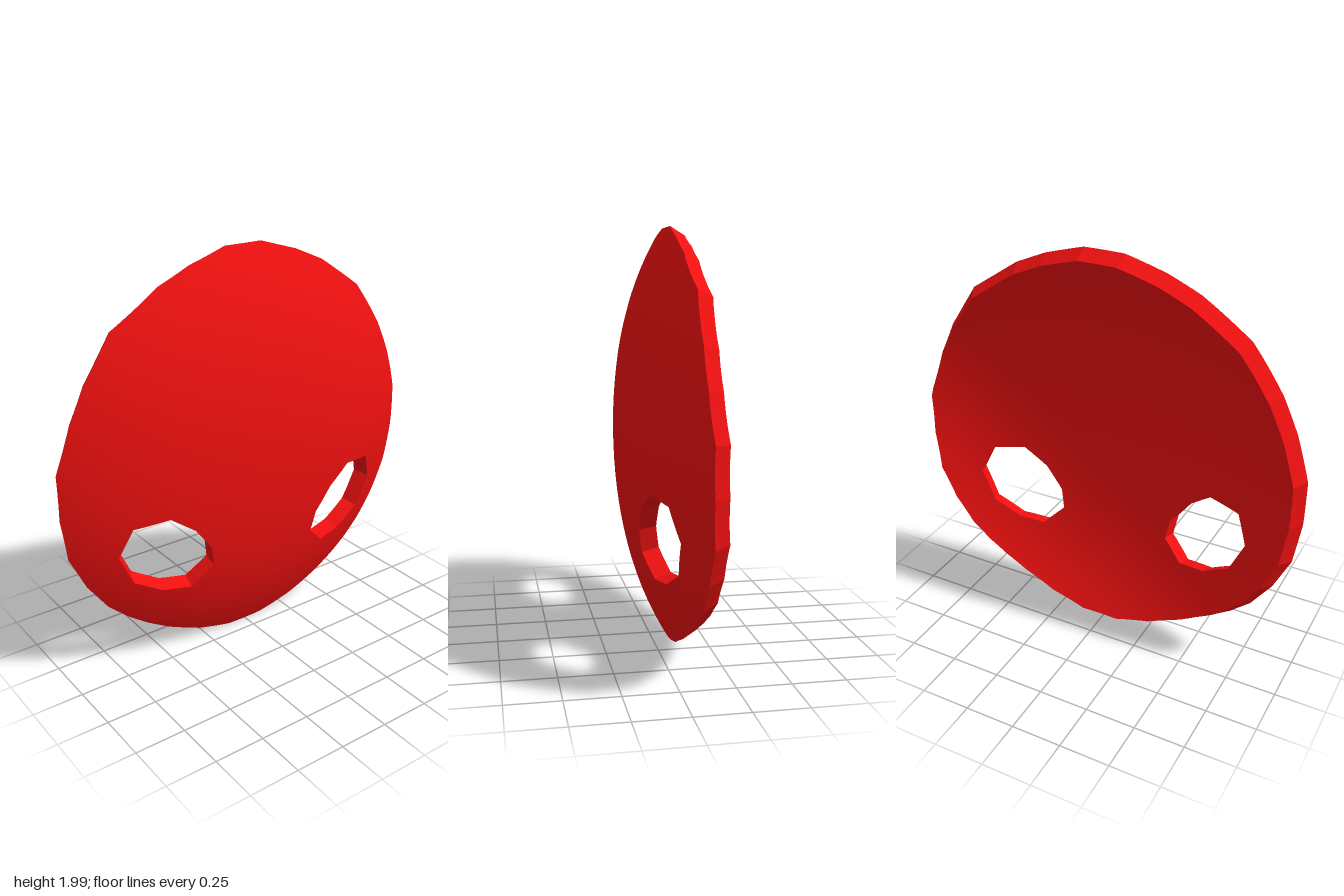
import * as THREE from 'three';

const CENTRE_Y = 0.995, THICKNESS = 0.083, APEX = 0.148;
const STEPS = 12; // subdivisions of every triangle and edge

// Point and normal on the dome; u runs to -z, v runs up from the centre, the dome bulges to +x
function dome(u, v, inner) {
  const r2 = u * u + v * v;
  const slope = 2 * 0.16 + 4 * 0.07 * r2;
  const normal = new THREE.Vector3(1, slope * v, -slope * u).normalize();
  const point = new THREE.Vector3(APEX - 0.16 * r2 - 0.07 * r2 * r2, v + CENTRE_Y, -u);
  if (inner) {
    point.addScaledVector(normal, -THICKNESS);
    normal.negate();
  }
  return { point, normal };
}

// Curved face made by subdividing a flat shape and lifting it onto the dome
function buildFace(flat, inner) {
  const pos = [], nor = [];
  const p = flat.attributes.position, index = flat.index;
  for (let t = 0; t < index.count; t += 3) {
    const [a, b, c] = [0, 1, 2].map(k => new THREE.Vector2(p.getX(index.getX(t + k)), p.getY(index.getX(t + k))));
    const at = (i, j) => {
      const q = a.clone().multiplyScalar(STEPS - i - j).addScaledVector(b, i).addScaledVector(c, j).divideScalar(STEPS);
      return dome(q.x, q.y, inner);
    };
    const tri = (...s) => (inner ? s.reverse() : s).forEach(d => {
      pos.push(...d.point.toArray());
      nor.push(...d.normal.toArray());
    });
    for (let i = 0; i < STEPS; i++) for (let j = 0; j < STEPS - i; j++) {
      tri(at(i, j), at(i + 1, j), at(i, j + 1));
      if (i + j < STEPS - 1) tri(at(i + 1, j), at(i + 1, j + 1), at(i, j + 1));
    }
  }
  const g = new THREE.BufferGeometry();
  g.setAttribute('position', new THREE.Float32BufferAttribute(pos, 3));
  g.setAttribute('normal', new THREE.Float32BufferAttribute(nor, 3));
  return g;
}

// Wall joining the outer and inner faces along a closed loop
function buildWall(loop) {
  const pos = [];
  loop.forEach((a, k) => {
    const b = loop[(k + 1) % loop.length];
    for (let i = 0; i < STEPS; i++) {
      const s = a.clone().lerp(b, i / STEPS), e = a.clone().lerp(b, (i + 1) / STEPS);
      const [so, si, eo, ei] = [[s, false], [s, true], [e, false], [e, true]].map(([q, inner]) => dome(q.x, q.y, inner).point);
      [so, si, eo, eo, si, ei].forEach(q => pos.push(q.x, q.y, q.z));
    }
  });
  const g = new THREE.BufferGeometry();
  g.setAttribute('position', new THREE.Float32BufferAttribute(pos, 3));
  g.computeVertexNormals();
  return g;
}

export function createModel() {
  const group = new THREE.Group();
  group.name = 'mask';
  const material = new THREE.MeshStandardMaterial({ color: 0xf01010 });
  const add = (name, geometry) => {
    const mesh = new THREE.Mesh(geometry, material);
    mesh.name = name;
    group.add(mesh);
  };

  const toLoop = (points, side) => points.map(([z, y]) => new THREE.Vector2(-side * z, y - CENTRE_Y));

  // Outline of one half as z, y from top to bottom
  const half = [
    [0.1, 1.99], [0.3, 1.93], [0.46, 1.86], [0.7, 1.7], [0.77, 1.6], [0.85, 1.48], [0.93, 1.31], [1, 1.1], [1, 0.88],
    [0.97, 0.67], [0.89, 0.5], [0.79, 0.36], [0.69, 0.27], [0.59, 0.2], [0.47, 0.13], [0.29, 0.05], [0.1, 0],
  ];
  const outline = [...toLoop(half, 1), ...toLoop(half, -1).reverse()];

  // Eye opening, mirrored for the other side
  const eye = [
    [0.705, 0.8], [0.765, 0.655], [0.69, 0.495], [0.545, 0.415], [0.405, 0.4],
    [0.3, 0.5], [0.32, 0.61], [0.41, 0.73], [0.535, 0.82],
  ];
  const eyes = [toLoop(eye, 1).reverse(), toLoop(eye, -1)];

  const shape = new THREE.Shape(outline);
  shape.holes = eyes.map(loop => new THREE.Path(loop));
  const flat = new THREE.ShapeGeometry(shape);

  add('outerFace', buildFace(flat, false));
  add('innerFace', buildFace(flat, true));
  add('rim', buildWall(outline));
  add('frontEyeHole', buildWall(eyes[0]));
  add('backEyeHole', buildWall(eyes[1]));
  return group;
}
